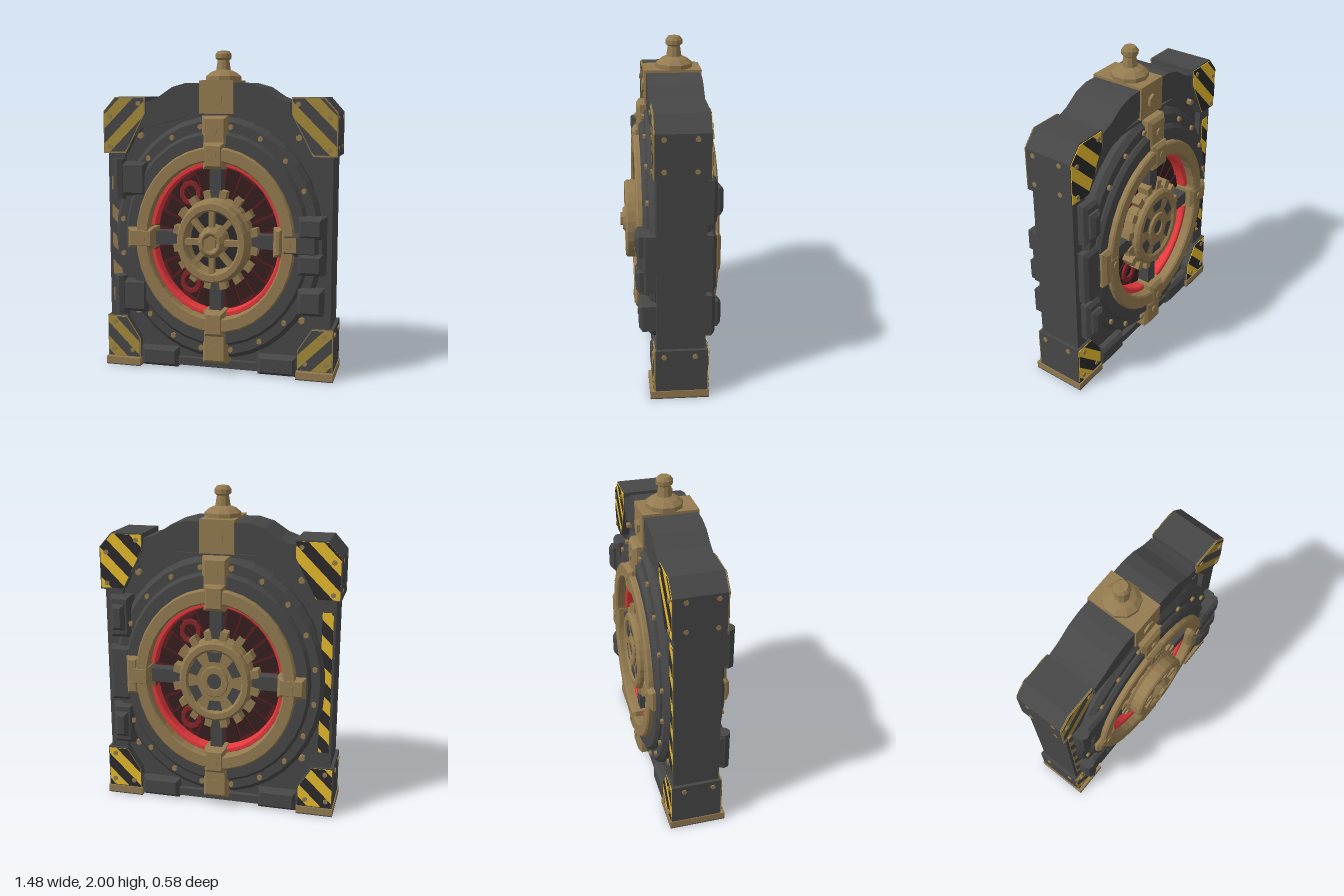
import * as THREE from 'three';

const mat = (name, color) => Object.assign(new THREE.MeshStandardMaterial({ color, flatShading: true }), { name });
const M = {
  iron: mat('iron', 0x474747), dark: mat('dark iron', 0x2c2a2a), bronze: mat('bronze', 0x947b50),
  worn: mat('worn yellow', 0xa48a3a), yellow: mat('hazard yellow', 0xffd034),
  red: mat('glowing red', 0xf03c40), dull: mat('dull red', 0x86262a),
  maroon: mat('maroon', 0x371f1f), vane: mat('vane red', 0x5c1e21),
};
const CY = 0.85, SX = 0.87, MID = -0.05; // wheel centre, oval squash, middle of the depth

function add(parent, name, geo, material, x = 0, y = 0, z = 0) {
  const m = new THREE.Mesh(geo, material);
  m.name = name;
  m.position.set(x, y, z);
  parent.add(m);
  return m;
}
// box given by its limits
const block = (p, name, material, x0, x1, y0, y1, z0, z1) =>
  add(p, name, new THREE.BoxGeometry(x1 - x0, y1 - y0, z1 - z0), material, (x0 + x1) / 2, (y0 + y1) / 2, (z0 + z1) / 2);
// box with chamfered front edges
function slab(p, name, material, x0, x1, y0, y1, z0, z1, c = 0.02) {
  const g = new THREE.BoxGeometry(x1 - x0, y1 - y0, z1 - z0, 3, 3, 2);
  const a = g.attributes.position, w = (x1 - x0) / 2, h = (y1 - y0) / 2, d = (z1 - z0) / 2;
  for (let i = 0; i < a.count; i++) {
    const x = a.getX(i), y = a.getY(i), z = a.getZ(i);
    const top = z > d - 1e-4;
    const spread = (v, half) => Math.abs(v) > half - 1e-4 ? Math.sign(v) * (top ? half - c : half) : Math.sign(v) * (half - c);
    a.setXYZ(i, spread(x, w), spread(y, h), Math.abs(z) < 1e-4 ? d - c : z);
  }
  g.computeVertexNormals();
  return add(p, name, g, material, (x0 + x1) / 2, (y0 + y1) / 2, (z0 + z1) / 2);
}
const pathPoints = pts => pts.map(p => new THREE.Vector2(...p));
function prism(p, name, material, pts, z0, z1, hole) {
  const s = new THREE.Shape(pathPoints(pts));
  if (hole) s.holes.push(new THREE.Path(pathPoints(hole)));
  return add(p, name, new THREE.ExtrudeGeometry(s, { depth: z1 - z0, bevelEnabled: false }), material, 0, 0, z0);
}
const mirrored = pts => pts.concat(pts.slice().reverse().map(([x, y]) => [-x, y]));
// chamfered ring around z, whole or in part
function ring(p, name, material, r0, r1, z0, z1, seg = 36, c = 0.015, start = 0, sweep = Math.PI * 2) {
  const prof = [[r0, z0], [r1, z0], [r1, z1 - c], [r1 - c, z1], [r0 + c, z1], [r0, z1 - c], [r0, z0]];
  const g = new THREE.LatheGeometry(pathPoints(prof), seg, start, sweep);
  g.rotateX(Math.PI / 2);
  return add(p, name, g, material);
}
function disc(p, name, material, r, z0, z1, seg = 24, x = 0, y = 0) {
  const g = new THREE.CylinderGeometry(r, r, z1 - z0, seg);
  g.rotateX(Math.PI / 2);
  return add(p, name, g, material, x, y, (z0 + z1) / 2);
}
// radial bar at an angle, w0 wide inside and w1 wide outside
function radial(p, name, material, a, r0, r1, w0, z0, z1, w1 = w0) {
  prism(p, name, material, [[r0, -w0 / 2], [r1, -w1 / 2], [r1, w1 / 2], [r0, w0 / 2]], z0, z1).rotation.z = a;
}
// keep the part of a convex outline where f >= 0
function clip(pts, f) {
  const out = [];
  pts.forEach((a, i) => {
    const b = pts[(i + 1) % pts.length], fa = f(a), fb = f(b);
    if (fa >= 0) out.push(a);
    if (fa * fb < 0) out.push([0, 1].map(k => a[k] + (b[k] - a[k]) * fa / (fa - fb)));
  });
  return out;
}
// hazard plate: painted ground with diagonal bands
function hazard(p, pts, z, dir, ground, stripe, band = 0.09) {
  prism(p, 'hazardPlate', ground, pts, z, z + 0.004);
  for (let k = -15; k < 20; k++) {
    const u0 = k * band * 2, u = q => q[1] - dir * q[0];
    const s = clip(clip(pts, q => u(q) - u0), q => u0 + band - u(q));
    if (s.length > 2) prism(p, 'hazardStripe', stripe, s, z + 0.004, z + 0.006);
  }
}
const topCorner = [[0.735, 1.37], [0.735, 1.63], [0.655, 1.72], [0.46, 1.72], [0.46, 1.62], [0.59, 1.37]];
const lowCorner = [[0.73, 0.05], [0.73, 0.32], [0.6, 0.32], [0.51, 0.18], [0.51, 0.05]];
const flip = (pts, s) => s > 0 ? pts : pts.map(([x, y]) => [-x, y]).reverse();
function inset(pts, k) {
  const c = [0, 1].map(i => pts.reduce((t, q) => t + q[i], 0) / pts.length);
  return pts.map(q => q.map((v, i) => c[i] + (v - c[i]) * k));
}

// everything on one face; local z points outward from the middle of the depth
function buildFace(front) {
  const f = new THREE.Group();
  f.name = front ? 'frontFace' : 'backFace';
  const oval = new THREE.Group();
  oval.name = 'wheel';
  oval.position.y = CY;
  oval.scale.x = SX;
  f.add(oval);

  // stepped iron rings and bronze rim
  ring(oval, 'outerRing', M.iron, 0.64, 0.76, 0, 0.175, 36, 0.03);
  ring(oval, 'middleRing', M.iron, 0.55, 0.67, 0, 0.205, 36, 0.02);
  ring(oval, 'bronzeRim', M.bronze, 0.485, 0.575, 0, 0.24, 36, 0.01);

  // dark window with a glowing arc, blades and a small cog in the quarters
  disc(oval, 'windowPanel', M.vane, 0.49, 0, 0.11, 36);
  for (let i = 0; i < 4; i++) {
    ring(oval, 'redArc', M.red, 0.452, 0.49, 0.1, 0.18, 9, 0.008, i * Math.PI / 2 + 0.17, Math.PI / 2 - 0.34);
    for (let k = 1; k < 6; k++)
      radial(oval, 'blade', M.maroon, (i + k / 6) * Math.PI / 2, 0.26, k % 2 ? 0.44 : 0.42, 0.055, 0.11, 0.125, 0.095);
    radial(oval, 'arm', M.iron, i * Math.PI / 2, 0.2, 0.5, 0.085, 0.05, 0.19);
  }
  for (const y of [0.28, -0.28]) {
    const cog = ring(oval, 'windowCog', M.dull, 0.045, 0.08, 0, 0.02, 10, 0.004);
    cog.position.set(-0.2, y, 0.12);
  }
  for (let i = 0; i < 20; i++) {
    const a = (i + 0.5) * Math.PI / 10;
    disc(oval, 'ringRivet', M.bronze, 0.018, 0.16, 0.19, 6, Math.cos(a) * 0.7, Math.sin(a) * 0.7);
  }

  // toothed hub
  ring(oval, 'gearRing', M.bronze, 0.185, 0.265, 0.07, front ? 0.22 : 0.2, 24);
  for (let i = 0; i < 16; i++) radial(oval, 'tooth', M.bronze, (i + 0.5) * Math.PI / 8, 0.25, 0.31, 0.05, 0.11, 0.2);
  if (front) {
    disc(oval, 'hubPlate', M.dark, 0.2, 0.05, 0.17);
    ring(oval, 'handWheel', M.bronze, 0.19, 0.25, 0.2, 0.295, 24, 0.012);
    for (let i = 0; i < 8; i++) radial(oval, 'spoke', M.bronze, i * Math.PI / 4, 0.05, 0.21, 0.036, 0.24, 0.285);
    ring(oval, 'hubBoss', M.bronze, 0.03, 0.1, 0.16, 0.31, 12, 0.03);
    disc(oval, 'hubNut', M.bronze, 0.045, 0.2, 0.325, 6);
  } else {
    disc(oval, 'hubPlate', M.bronze, 0.2, 0.05, 0.22);
    ring(oval, 'hubRim', M.bronze, 0.19, 0.255, 0.18, 0.235, 24);
    for (let i = 0; i < 6; i++) radial(oval, 'hubPatch', M.iron, (i + 0.5) * Math.PI / 3, 0.125, 0.185, 0.075, 0.22, 0.225, 0.11);
    ring(oval, 'hubInnerRing', M.bronze, 0.05, 0.1, 0.2, 0.235, 12, 0.005);
    disc(oval, 'hubCentre', M.iron, 0.05, 0.2, 0.225, 12);
  }

  // bronze clasps over the rim
  for (const s of [1, -1]) {
    const y = v => CY + s * v;
    const span = (a, b) => [Math.min(y(a), y(b)), Math.max(y(a), y(b))];
    slab(f, 'claspInner', M.bronze, -0.065, 0.065, ...span(0.44, 0.6), 0.1, 0.245);
    slab(f, 'claspOuter', M.bronze, -0.08, 0.08, ...span(0.58, s > 0 ? 0.76 : 0.78), 0.1, 0.215);
    for (const r of [0.53, 0.67]) disc(f, 'claspBolt', M.bronze, 0.022, 0.2, r < 0.6 ? 0.25 : 0.225, 6, 0, y(r));
    const wide = front === s < 0 ? 0.085 : 0.06;
    slab(f, 'sideClasp', M.bronze, s * 0.47 - wide, s * 0.47 + wide, CY - 0.065, CY + 0.065, 0.1, 0.243);
    disc(f, 'claspBolt', M.bronze, 0.022, 0.23, 0.25, 6, s * 0.46, CY);
  }

  // hazard corners with rivets
  for (const s of [1, -1]) {
    const paint = front ? [M.worn, M.iron] : [M.yellow, M.dark];
    hazard(f, inset(flip(topCorner, s), 0.95), 0.155, front ? -s : -1, ...paint);
    hazard(f, inset(flip(lowCorner, s), 0.95), 0.155, front ? s : -1, ...paint);
    for (const [x, y] of [[0.69, 1.41], [0.69, 1.6], [0.5, 1.68], [0.69, 0.1], [0.56, 0.1], [0.68, 0.28]])
      disc(f, 'cornerRivet', M.bronze, 0.016, 0.15, 0.168, 6, s * x, y);
    for (const [x, y] of [[0.5, 1.48], [0.53, 0.36]]) disc(f, 'panelBolt', M.bronze, 0.02, 0.1, 0.135, 6, s * x, y);
    slab(f, 'footPad', M.iron, s > 0 ? 0.26 : -0.5, s > 0 ? 0.5 : -0.26, 0.005, 0.13, 0.08, 0.16);
  }

  // painted strip along the edge at the model's right
  const x0 = front ? -0.69 : 0.63;
  hazard(f, [[x0, 0.42], [x0 + 0.065, 0.42], [x0 + 0.065, 1.3], [x0, 1.3]], 0.14, -1, front ? M.bronze : M.yellow, front ? M.iron : M.dark);

  // hinges and latches
  if (front) {
    for (const y of [0.37, 1.11]) {
      slab(f, 'hingeLeaf', M.iron, -0.66, -0.44, y, y + 0.21, 0.08, 0.215);
      add(f, 'hingeBarrel', new THREE.CylinderGeometry(0.042, 0.042, 0.25, 8), M.iron, -0.62, y + 0.105, 0.19);
    }
    slab(f, 'lowerLatch', M.iron, 0.52, 0.67, 0.42, 0.58, 0.08, 0.24);
    slab(f, 'latchBase', M.iron, 0.54, 0.68, 0.67, 1.02, 0.08, 0.22);
    for (const y of [0.67, 0.89]) slab(f, 'latchCap', M.iron, 0.52, 0.67, y, y + 0.13, 0.15, 0.255);
    slab(f, 'latchBar', M.iron, 0.42, 0.64, 0.78, 0.92, 0.08, 0.243);
    slab(f, 'latchPlate', M.bronze, 0.37, 0.43, 0.77, 0.95, 0.2, 0.25);
  } else {
    slab(f, 'latchBar', M.iron, -0.68, -0.54, 0.67, 1.02, 0.08, 0.2);
    slab(f, 'latchPlate', M.bronze, -0.56, -0.48, 0.73, 0.97, 0.1, 0.24);
    for (const y of [0.38, 1.08]) {
      slab(f, 'latchBase', M.iron, -0.67, -0.54, y, y + 0.26, 0.08, 0.2);
      slab(f, 'latchCap', M.iron, -0.65, -0.57, y + 0.05, y + 0.21, 0.15, 0.235);
    }
  }

  // bolt on the crown bracket
  disc(f, 'crownBolt', M.bronze, 0.042, 0.15, 0.182, 6, 0, 1.71);
  f.position.z = MID;
  if (!front) f.rotation.y = Math.PI;
  return f;
}

export function createModel() {
  const g = new THREE.Group();
  g.name = 'vaultDoor';

  // frame with arched top, and the sunken panel inside it
  const outline = mirrored([[0.5, 0.02], [0.71, 0.02], [0.71, 1.6], [0.62, 1.69], [0.46, 1.69], [0.37, 1.715], [0.27, 1.77], [0.18, 1.795]]);
  const opening = mirrored([[0.45, 0.07], [0.6, 0.24], [0.6, 1.4], [0.48, 1.53], [0.34, 1.56], [0.2, 1.6]]);
  prism(g, 'frame', M.iron, outline, -0.19, 0.09, opening);
  prism(g, 'innerPanel', M.iron, opening, -0.155, 0.055, Array.from({ length: 32 }, (_, i) =>
    [Math.cos(i * Math.PI / 16) * 0.6 * SX, CY + Math.sin(i * Math.PI / 16) * 0.6]));
  // raised arch band
  prism(g, 'archBand', M.iron, mirrored([[0.45, 1.6], [0.45, 1.69], [0.37, 1.72], [0.28, 1.78], [0.19, 1.805], [0.1, 1.805], [0.1, 1.64], [0.25, 1.62]]), -0.205, 0.11);

  // corner blocks, bronze-trimmed feet and side rivets
  for (const s of [1, -1]) {
    for (const c of [topCorner, lowCorner]) {
      prism(g, 'cornerBlock', M.iron, flip(c, s), -0.205, 0.1);
      prism(g, 'cornerTrim', M.bronze, flip(c, s), 0.1, 0.105);
    }
    const [a, b] = s > 0 ? [0.505, 0.735] : [-0.735, -0.505];
    block(g, 'foot', M.bronze, a, b, 0.006, 0.05, -0.215, 0.13);
    block(g, 'sole', M.iron, a, b, 0, 0.006, -0.215, 0.13);
    for (const z of [0.05, -0.13]) for (const y of [0.28, 1.42, 1.6]) {
      const r = add(g, 'sideRivet', new THREE.CylinderGeometry(0.016, 0.016, 0.02, 6), M.bronze, s * 0.728, y, z);
      r.rotation.z = Math.PI / 2;
    }
  }

  // crown bracket and knob
  block(g, 'crownBracket', M.bronze, -0.105, 0.105, 1.62, 1.82, -0.215, 0.12);
  const knob = [[0, 1.81], [0.11, 1.81], [0.11, 1.845], [0.08, 1.87], [0.045, 1.885], [0.036, 1.945], [0.05, 1.955], [0.05, 1.98], [0.035, 2], [0, 2]];
  add(g, 'knob', new THREE.LatheGeometry(pathPoints(knob), 10), M.bronze, 0, 0, MID - 0.01);

  g.add(buildFace(true), buildFace(false));
  return g;
}
